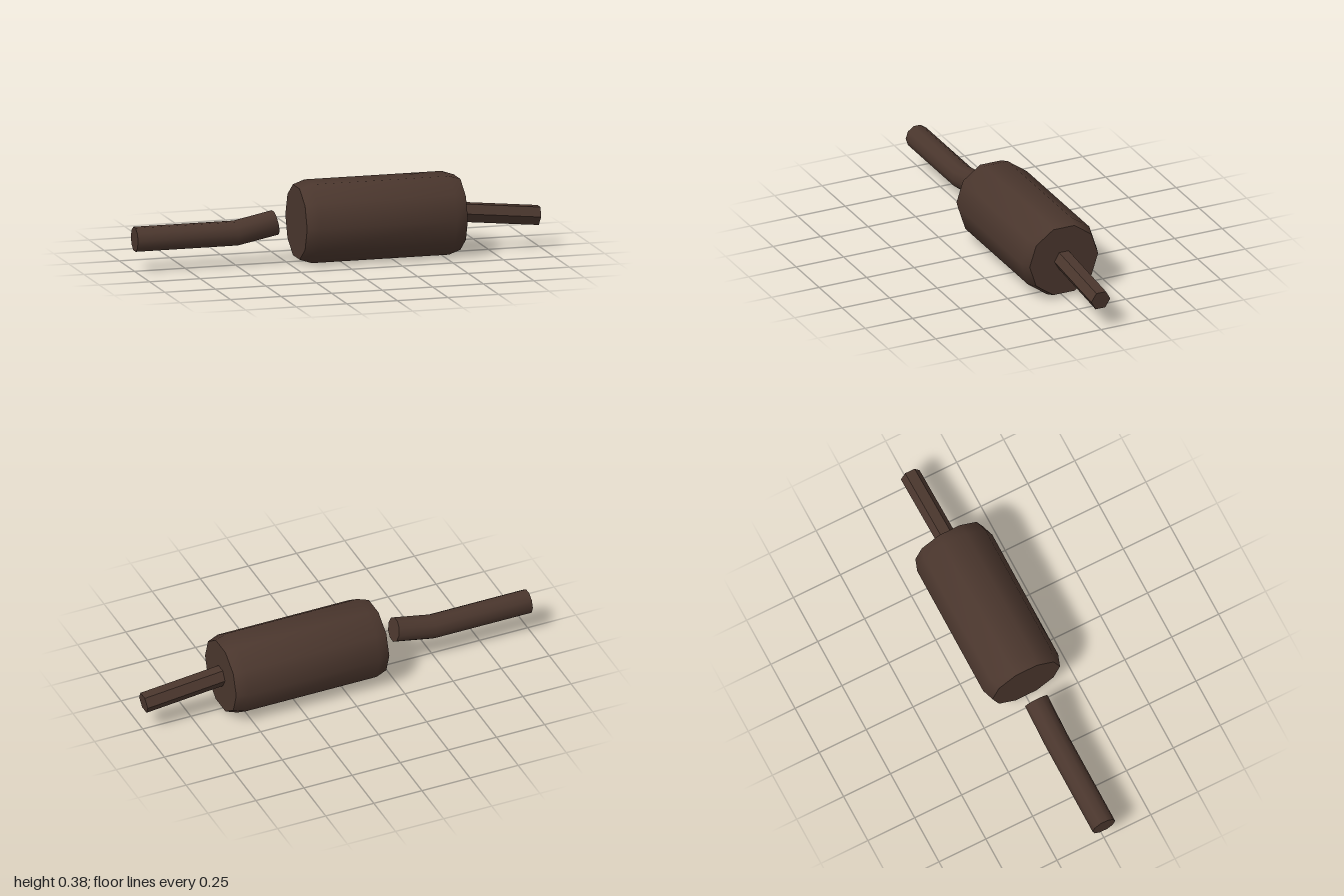
import * as THREE from 'three';
import { toCreasedNormals } from 'three/addons/utils/BufferGeometryUtils.js';

// Capped round solid along +x from [radius, x] pairs, with corners on the z axis
function turned(profile, sides) {
  const points = profile.map(([r, x]) => new THREE.Vector2(r, x));
  return new THREE.LatheGeometry(points, sides).rotateZ(-Math.PI / 2);
}

export function createModel() {
  const group = new THREE.Group();
  const metal = new THREE.MeshStandardMaterial({ color: 0x4a362d });
  metal.name = 'dark brown metal';

  const add = (name, geometry) => {
    const mesh = new THREE.Mesh(toCreasedNormals(geometry, Math.PI / 4), metal);
    mesh.name = name;
    group.add(mesh);
    return mesh;
  };

  // Ten-sided canister with bevelled rims
  add('canister', turned(
    [[0, -0.2], [0.18, -0.2], [0.2, -0.142], [0.2, 0.537], [0.18, 0.595], [0, 0.595]], 10
  )).position.y = 0.19;

  // Inlet pipe: straight run, then a mitred bend upward at the knee (local origin)
  const r = 0.06;
  const inlet = turned([[0, -0.5], [r, -0.5], [r, 0], [r, 0.2], [0, 0.2]], 10);
  const bend = 0.2;
  const p = inlet.attributes.position;
  const v = new THREE.Vector3();
  const axis = new THREE.Vector3(0, 0, 1);
  for (let i = 0; i < p.count; i++) {
    v.fromBufferAttribute(p, i);
    if (v.x > -0.1) v.applyAxisAngle(axis, v.x > 0.1 ? bend : bend / 2);
    p.setXYZ(i, v.x, v.y, v.z);
  }
  add('inletPipe', inlet).position.set(-0.5, 0.155, 0);

  // Six-sided outlet pipe sloping down
  const outlet = add('outletPipe', turned([[0, 0], [0.05, 0], [0.05, 0.418], [0, 0.418]], 6));
  outlet.position.set(0.58, 0.193, 0);
  outlet.rotation.z = -0.1;

  return group;
}
